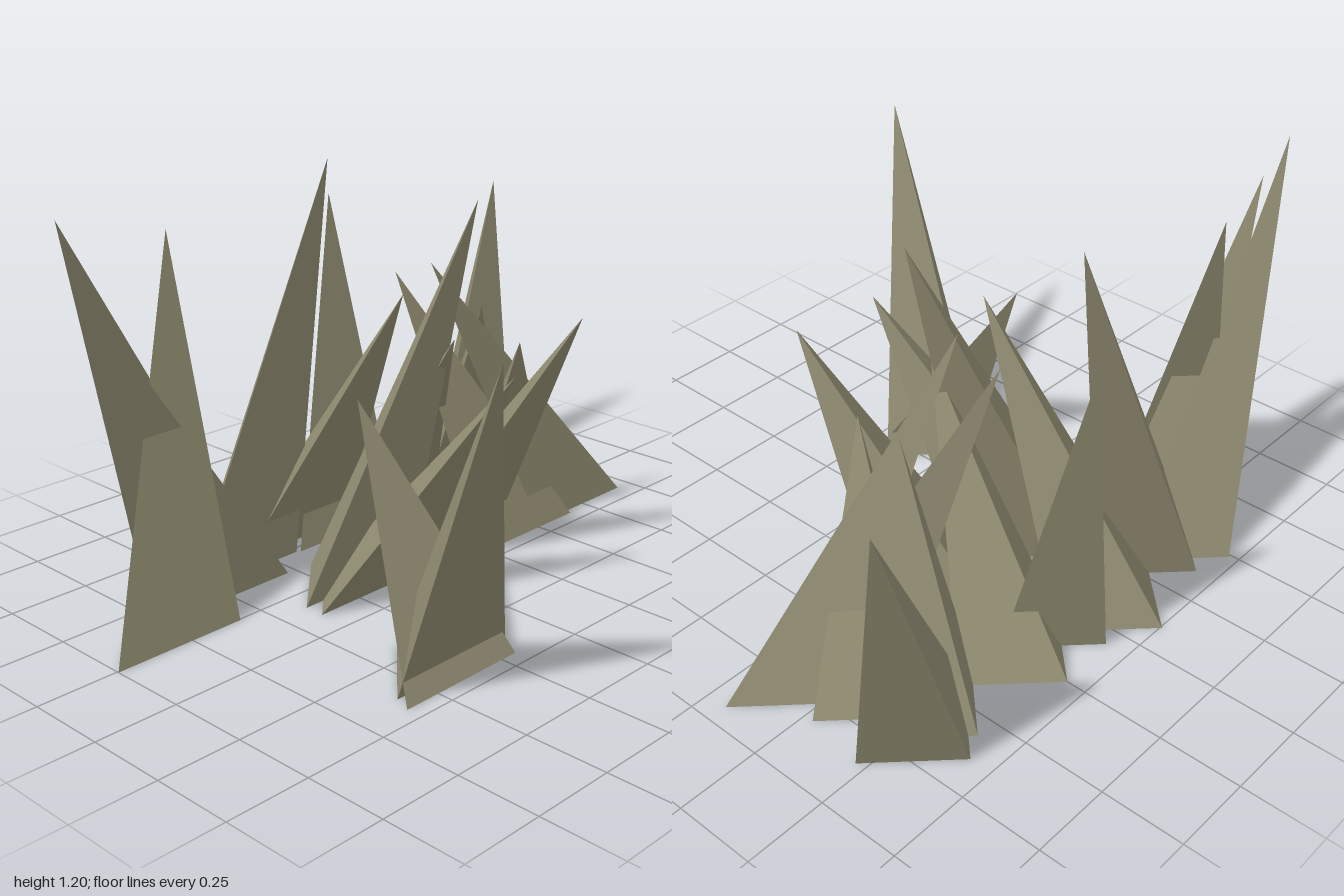
import * as THREE from 'three';

export function createModel() {
  const model = new THREE.Group();
  model.name = 'spikyTuft';
  const olive = new THREE.MeshStandardMaterial({ color: 0x8f8a70, side: THREE.DoubleSide });
  olive.name = 'dry olive';

  const HALF_WIDTH = 0.21, DEPTH = 0.21;

  // One open-bottomed, three-sided blade: straight front edge, one back corner, leaning tip
  function blade(tip, cx, frontZ) {
    const left = [cx - HALF_WIDTH, 0, frontZ];
    const right = [cx + HALF_WIDTH, 0, frontZ];
    const back = [cx, 0, frontZ - DEPTH];
    const corners = [left, right, back];
    const points = [];
    for (let i = 0; i < 3; i++) points.push(...corners[i], ...corners[(i + 1) % 3], ...tip);
    const geometry = new THREE.BufferGeometry();
    geometry.setAttribute('position', new THREE.Float32BufferAttribute(points, 3));
    geometry.computeVertexNormals();
    return new THREE.Mesh(geometry, olive);
  }

  // Each clump lists its blades as: tip, base centre x, base front z
  const clumps = {
    frontClump: [
      [[-0.605, 0.99, 0.75], -0.385, 0.395],
      [[-0.37, 0.675, 0.03], -0.405, 0.45],
    ],
    rightClump: [
      [[-0.915, 1.17, -0.51], -0.49, -0.51],
      [[-0.915, 1.02, -0.44], -0.49, -0.38],
      [[-0.52, 1.07, -0.57], -0.79, -0.245],
      [[0.05, 1.195, -0.52], -0.37, -0.475],
    ],
    middleClump: [
      [[0.22, 1.11, -0.07], -0.19, -0.165],
      [[-0.04, 0.87, -0.12], -0.10, -0.545],
      [[-0.02, 0.715, 0.29], -0.19, -0.10],
      [[0.245, 1.03, -0.73], 0.06, -0.467],
      [[0.34, 0.79, 0.23], 0.19, -0.15],
      [[0.10, 0.72, -0.05], 0.25, -0.48],
    ],
    leftClump: [
      [[1.00, 0.96, -0.70], 0.64, -0.47],
      [[0.18, 0.85, -0.37], 0.45, -0.05],
      [[0.19, 0.90, -0.23], 0.73, -0.07],
      [[0.44, 0.71, -0.25], 0.565, -0.43],
      [[0.38, 0.65, -0.04], 0.61, -0.28],
    ],
  };

  for (const [name, blades] of Object.entries(clumps)) {
    const clump = new THREE.Group();
    clump.name = name;
    blades.forEach((b, i) => {
      const mesh = blade(...b);
      mesh.name = `blade${i + 1}`;
      clump.add(mesh);
    });
    model.add(clump);
  }
  return model;
}
